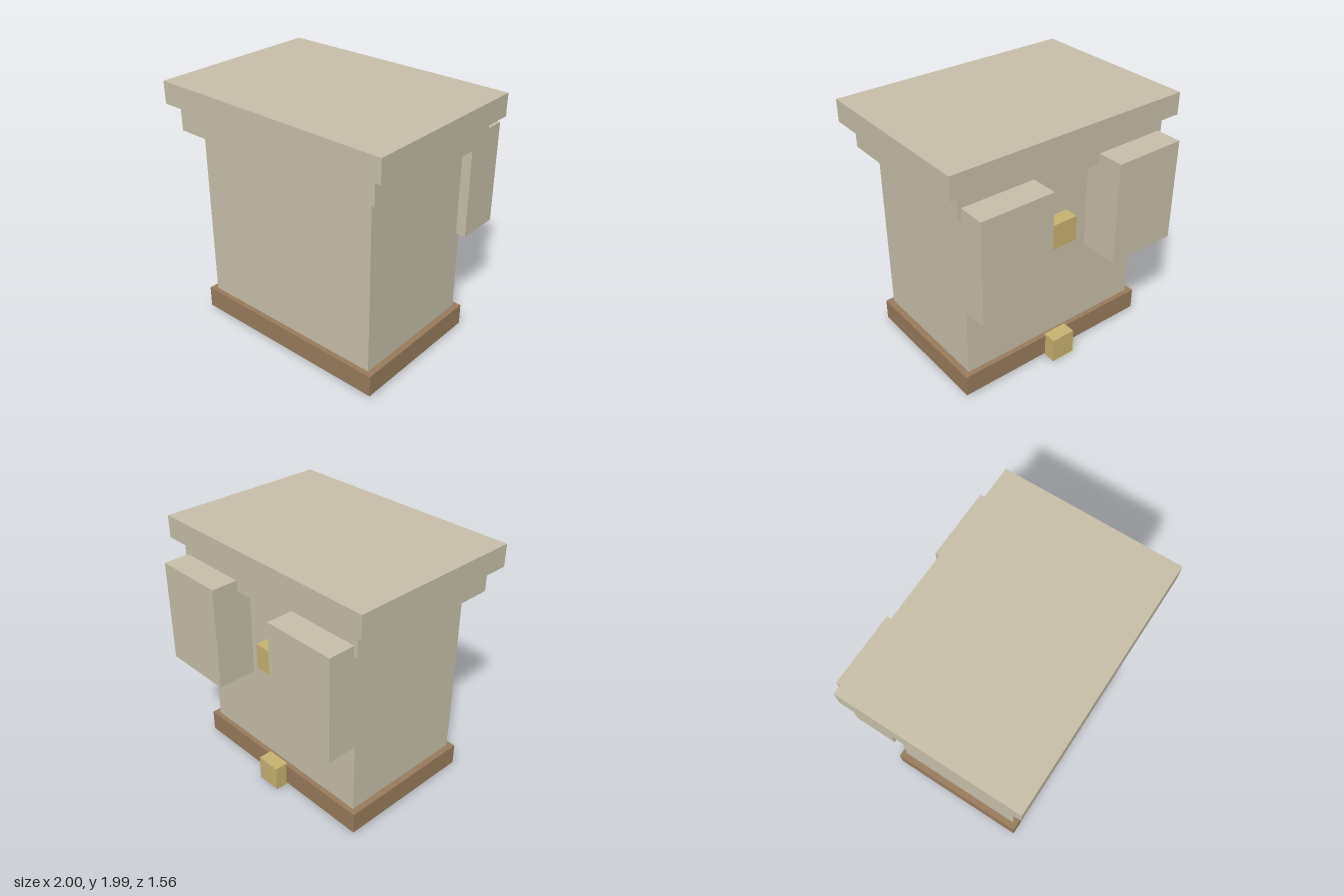
import * as THREE from 'three';

export function createModel() {
  const group = new THREE.Group();
  const material = (name, color) => {
    const m = new THREE.MeshStandardMaterial({ color });
    m.name = name;
    return m;
  };
  const stone = material('stone', 0xc8bfa9);
  const brown = material('brown', 0x997b5c);
  const gold = material('gold', 0xc8b270);

  // Adds a box given by its extents along each axis
  function box(name, mat, [x0, x1], [y0, y1], [z0, z1]) {
    const mesh = new THREE.Mesh(new THREE.BoxGeometry(x1 - x0, y1 - y0, z1 - z0), mat);
    mesh.position.set((x0 + x1) / 2, (y0 + y1) / 2, (z0 + z1) / 2);
    mesh.name = name;
    group.add(mesh);
  }

  // Main block with its band and stepped top
  box('body', stone, [-0.8, 0.8], [0, 1.62], [-0.46, 0.61]);
  box('baseBand', brown, [-0.85, 0.85], [0.02, 0.195], [-0.5, 0.65]);
  box('lowerCornice', stone, [-0.91, 0.91], [1.61, 1.815], [-0.57, 0.72]);
  box('topSlab', stone, [-1, 1], [1.815, 1.99], [-0.635, 0.78]);

  // Pair of blocks on the back
  box('leftBackBlock', stone, [0.295, 0.88], [0.873, 1.695], [-0.78, -0.425]);
  box('rightBackBlock', stone, [-0.88, -0.295], [0.873, 1.695], [-0.78, -0.425]);

  // Small studs on the back centre line
  box('lowerStud', gold, [-0.1, 0.1], [0.005, 0.21], [-0.6, -0.488]);
  box('upperStud', gold, [-0.105, 0.105], [1.05, 1.255], [-0.57, -0.455]);

  return group;
}
